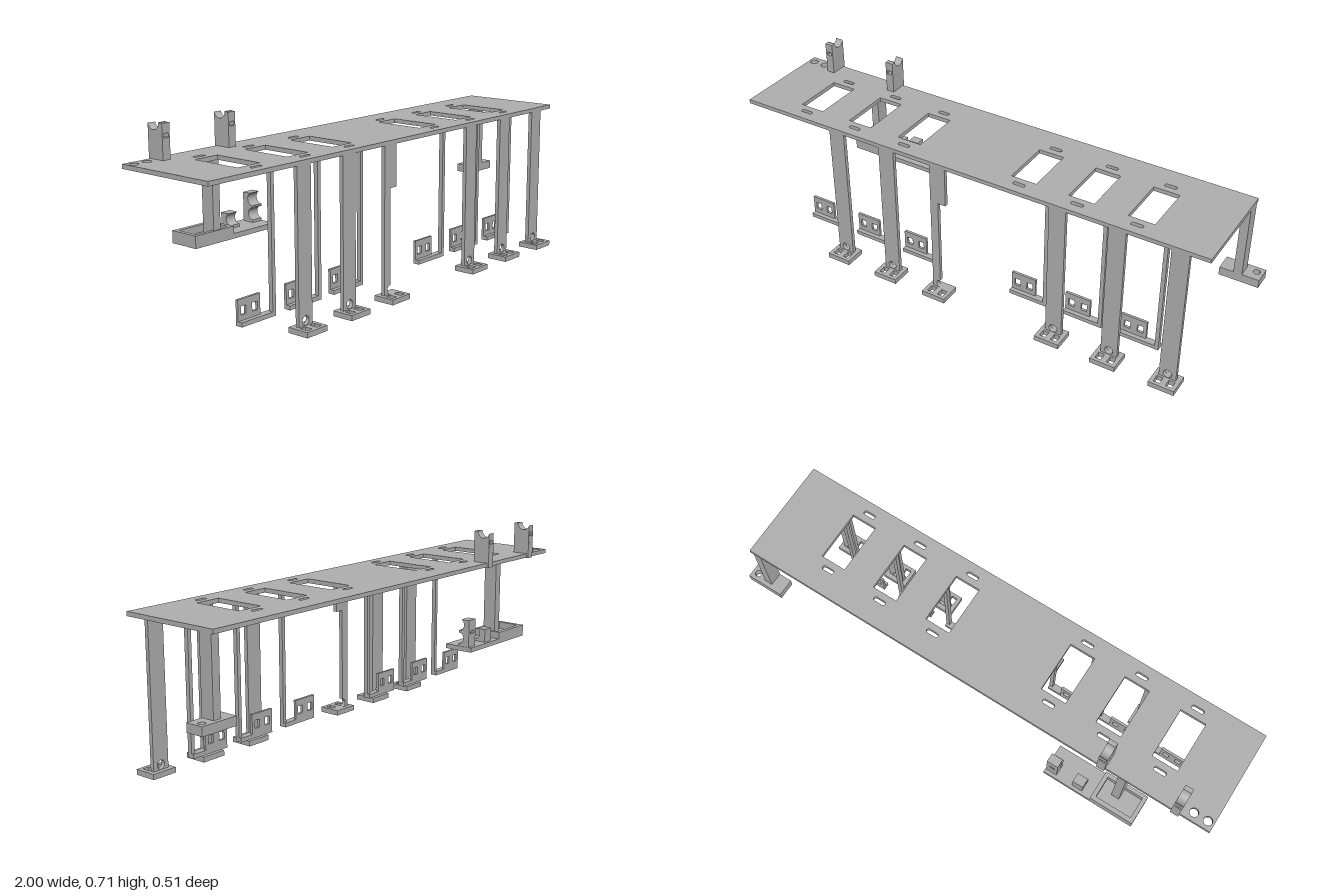
import * as THREE from 'three';

const grey = new THREE.MeshStandardMaterial({ color: 0xb0b0b0 });
grey.name = 'grey plastic';

// Closed outline from points, with optional holes.
function outline(points, holes = []) {
  const s = new THREE.Shape(points.map(([x, y]) => new THREE.Vector2(x, y)));
  s.holes.push(...holes);
  return s;
}
const rect = (x0, x1, y0, y1) => [[x0, y0], [x1, y0], [x1, y1], [x0, y1]];
const rectHole = (...r) => outline(rect(...r));
const roundHole = (x, y, r) => new THREE.Path().absarc(x, y, r, 0, Math.PI * 2, true);
function slotHole(x, y, halfLength, r) {
  const p = new THREE.Path();
  p.absarc(x + halfLength - r, y, r, -Math.PI / 2, Math.PI / 2, false);
  p.absarc(x - halfLength + r, y, r, Math.PI / 2, Math.PI * 1.5, false);
  p.closePath();
  return p;
}
const extrude = (shape, depth) =>
  new THREE.ExtrudeGeometry(shape, { depth, bevelEnabled: false, curveSegments: 12 });

function add(parent, name, geometry) {
  const m = new THREE.Mesh(geometry, grey);
  m.name = name;
  parent.add(m);
  return m;
}
// Box given by its limits.
function box(parent, name, x0, x1, y0, y1, z0, z1) {
  const g = new THREE.BoxGeometry(x1 - x0, y1 - y0, z1 - z0);
  return add(parent, name, g.translate((x0 + x1) / 2, (y0 + y1) / 2, (z0 + z1) / 2));
}
// Upright plate: outline in x, y.
const upright = (parent, name, shape, z0, z1) =>
  add(parent, name, extrude(shape, z1 - z0).translate(0, 0, z0));
// Flat plate: outline in x, -z.
const flat = (parent, name, shape, y0, y1) =>
  add(parent, name, extrude(shape, y1 - y0).rotateX(-Math.PI / 2).translate(0, y0, 0));
// Side profile: outline in z, y.
const profile = (parent, name, shape, x0, x1) =>
  add(parent, name, extrude(shape, x1 - x0).rotateY(-Math.PI / 2).translate(x1, 0, 0));

function group(parent, name, x = 0) {
  const g = new THREE.Group();
  g.name = name;
  g.position.x = x;
  parent.add(g);
  return g;
}

const TOP = 0.588, UNDER = 0.572;
const windows = [-0.752, -0.525, -0.3, 0.19, 0.42, 0.648];
const legs = [-0.578, -0.352, -0.127, 0.368, 0.597, 0.828];

function frontLeg(parent, x, notched) {
  const g = group(parent, 'frontLeg', x);
  let s;
  if (notched) {
    // half-width lower leg
    s = new THREE.Shape();
    s.moveTo(-0.033, 0.02);
    s.lineTo(-0.033, UNDER);
    s.lineTo(0.033, UNDER);
    s.lineTo(0.033, 0.415);
    s.lineTo(0, 0.415);
    s.lineTo(0, 0.054);
    s.absarc(0, 0.037, 0.017, Math.PI / 2, Math.PI * 1.5, false);
    s.closePath();
  } else {
    s = outline(rect(-0.033, 0.033, 0.02, UNDER), [roundHole(0, 0.038, 0.0165)]);
  }
  upright(g, 'legPost', s, 0.185, 0.2);
  flat(g, 'foot', outline(rect(-0.05, 0.05, -0.253, -0.167), [
    rectHole(-0.035, -0.011, -0.239, -0.208),
    rectHole(0.011, 0.035, -0.239, -0.208),
  ]), 0, 0.02);
}

function hanger(parent, x) {
  const g = group(parent, 'hanger', x);
  box(g, 'hangerRod', 0.092, 0.107, 0.073, UNDER, 0.11, 0.127);
  box(g, 'hangerBar', -0.052, 0.107, 0.057, 0.073, 0.1, 0.127);
  upright(g, 'hangerPlate', outline(rect(-0.052, 0.05, 0.073, 0.147), [
    rectHole(-0.039, -0.015, 0.092, 0.122),
    rectHole(0.013, 0.037, 0.092, 0.122),
  ]), 0.1, 0.11);
}

// Cable clip with a hollowed top and a slot through it.
function topClip(parent, x) {
  const g = group(parent, 'topClip', x);
  const shape = bottom => {
    const s = new THREE.Shape();
    s.moveTo(-0.14, bottom);
    s.lineTo(-0.14, 0.711);
    s.lineTo(-0.157, 0.711);
    s.absarc(-0.184, 0.713, 0.027, 0, -Math.PI + 0.28, true);
    s.lineTo(-0.21, bottom);
    s.closePath();
    return s;
  };
  for (const [a, b] of [[-0.016, -0.01], [0.01, 0.016]]) profile(g, 'clipSide', shape(0.57), a, b);
  profile(g, 'clipTop', shape(0.677), -0.01, 0.01);
  box(g, 'clipBase', -0.01, 0.01, 0.57, 0.662, -0.21, -0.14);
}

// Scalloped cradle standing on the rear tray.
function cradleShape(bottom, tall) {
  const s = new THREE.Shape();
  s.moveTo(-0.24, bottom);
  if (tall) {
    s.lineTo(-0.24, 0.39);
    s.lineTo(-0.205, 0.39);
    s.absarc(-0.193, 0.369, 0.024, Math.PI * 2 / 3, Math.PI * 1.5, false);
  } else {
    s.lineTo(-0.24, 0.335);
    s.lineTo(-0.205, 0.335);
  }
  if (bottom < 0.3) s.absarc(-0.193, 0.315, 0.022, Math.PI * (tall ? 0.5 : 0.65), Math.PI * 1.5, false);
  s.lineTo(-0.193, bottom);
  s.closePath();
  return s;
}

export function createModel() {
  const model = new THREE.Group();
  model.name = 'bracketFrame';

  // Deck with windows, slots and corner holes
  const holes = [roundHole(-0.976, 0.172, 0.016), roundHole(-0.922, 0.172, 0.016)];
  for (const x of windows) {
    holes.push(rectHole(x - 0.05, x + 0.05, -0.122, 0.077));
    holes.push(slotHole(x, 0.11, 0.024, 0.008), slotHole(x, -0.155, 0.024, 0.008));
  }
  flat(model, 'deck', outline(rect(-1, 0.935, -0.2, 0.203), holes), UNDER, TOP);

  legs.forEach((x, i) => frontLeg(model, x, i === 2));
  windows.forEach(x => hanger(model, x));
  [-0.866, -0.572].forEach(x => topClip(model, x));

  // Rear arm at the left end
  const arm = group(model, 'rearArm');
  box(arm, 'armPost', 0.903, 0.935, 0.295, UNDER, -0.193, -0.14);
  flat(arm, 'armFoot', outline(rect(0.85, 1, 0.14, 0.21), [roundHole(0.975, 0.183, 0.013)]), 0.262, 0.295);

  // Rear tray hung from a post, with a rim round its deep half
  const tray = group(model, 'rearTray');
  box(tray, 'trayPost', -0.67, -0.638, 0.283, UNDER, -0.193, -0.14);
  box(tray, 'trayFloor', -0.758, -0.383, 0.265, 0.283, -0.253, -0.135);
  flat(tray, 'trayRim', outline(rect(-0.758, -0.58, 0.135, 0.253),
    [rectHole(-0.742, -0.596, 0.15, 0.236)]), 0.283, 0.31);

  // Tall cradle with a slot between its scallops
  const cradle = group(model, 'tallCradle');
  profile(cradle, 'cradleWall', cradleShape(0.283, true), -0.43, -0.42);
  profile(cradle, 'cradleWall', cradleShape(0.283, true), -0.398, -0.385);
  profile(cradle, 'cradleTop', cradleShape(0.347, true), -0.42, -0.398);
  profile(cradle, 'cradleBase', cradleShape(0.283, false), -0.42, -0.398);

  // Short cradle
  profile(model, 'shortCradle', cradleShape(0.283, false), -0.54, -0.497);

  return model;
}
